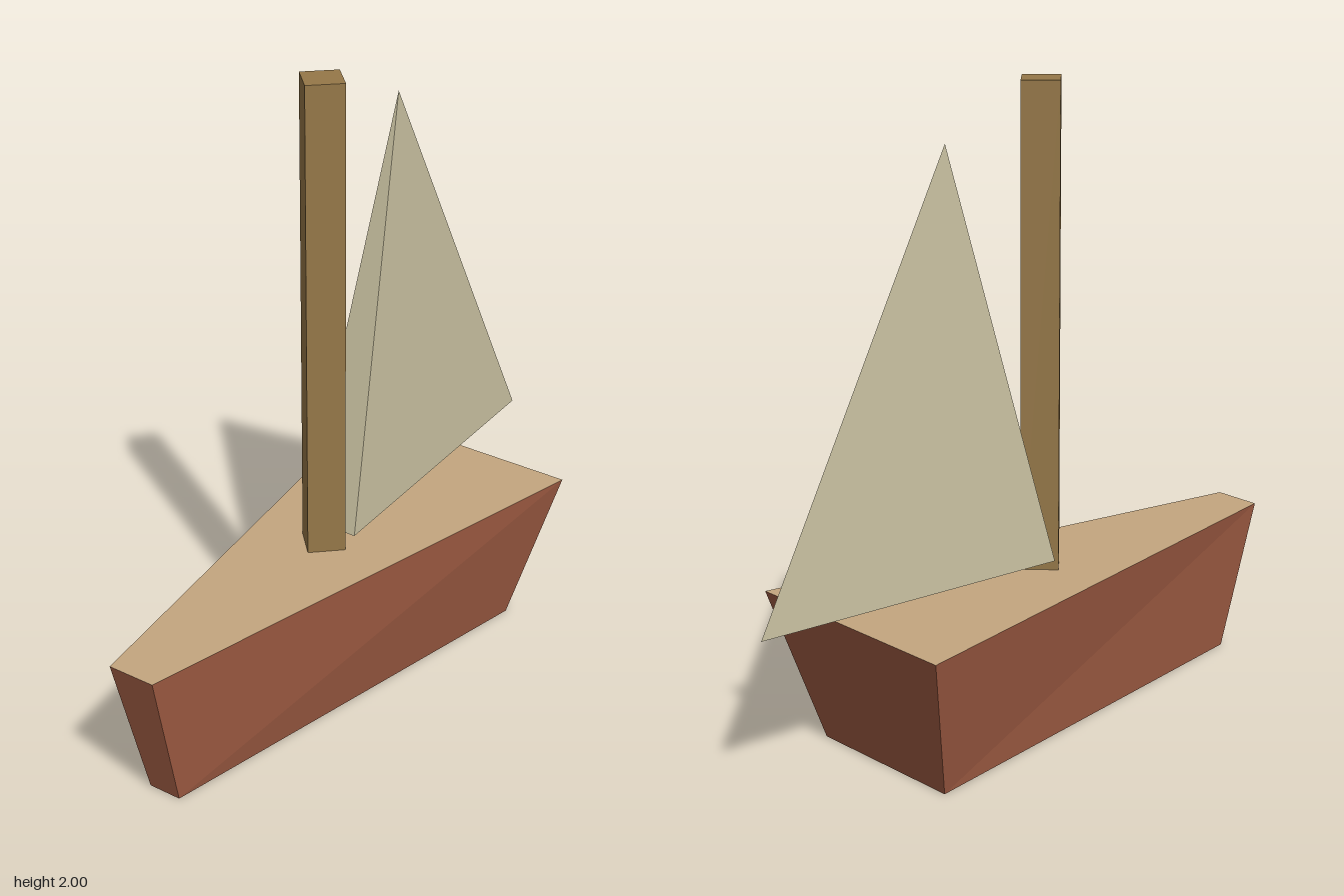
import * as THREE from 'three';

const material = (name, color) => {
  const m = new THREE.MeshStandardMaterial({ color });
  m.name = name;
  return m;
};

// Horizontal ring of corners, counter-clockwise seen from above
const ring = (y, points) => points.map(([x, z]) => [x, y, z]);

// Flat-faced geometry from convex polygons, each fanned into triangles
function facets(polygons) {
  const positions = [];
  for (const p of polygons)
    for (let i = 1; i < p.length - 1; i++) positions.push(...p[0], ...p[i], ...p[i + 1]);
  const geometry = new THREE.BufferGeometry();
  geometry.setAttribute('position', new THREE.Float32BufferAttribute(positions, 3));
  geometry.computeVertexNormals();
  return geometry;
}

export function createModel() {
  const boat = new THREE.Group();
  boat.name = 'sailboat';
  const add = (name, geometry, mat) => {
    const mesh = new THREE.Mesh(geometry, mat);
    mesh.name = name;
    boat.add(mesh);
    return mesh;
  };

  // Hull: flared sides, narrow bow at +z, wide stern
  const keel = ring(0, [[-0.055, 0.875], [0.055, 0.875], [0.275, -0.56], [-0.275, -0.56]]);
  const rim = ring(0.48, [[-0.079, 1], [0.079, 1], [0.392, -0.69], [-0.392, -0.69]]);
  const hullSides = keel.map((corner, i) => {
    const j = (i + 1) % 4;
    return [corner, keel[j], rim[j], rim[i]];
  });
  add('hull', facets([...hullSides, [...keel].reverse()]), material('hull red brown', 0xa05c43));
  add('deck', facets([rim]), material('deck tan', 0xc4a67f));

  // Mast: square post with its edges on the axes
  const mastGeometry = new THREE.CylinderGeometry(0.083, 0.083, 1.52, 4).toNonIndexed();
  mastGeometry.computeVertexNormals();
  add('mast', mastGeometry, material('mast brown', 0x967848)).position.set(0, 1.24, 0.083);

  // Sail: slim three-sided pyramid behind the mast
  const foot = ring(0.52, [[-0.096, 0.055], [0.096, 0.055], [0, -1]]);
  const peak = [0, 1.85, -0.295];
  const sailSides = foot.map((corner, i) => [corner, foot[(i + 1) % 3], peak]);
  add('sail', facets([...sailSides, [...foot].reverse()]), material('sail cream', 0xc8c0a0));

  return boat;
}
